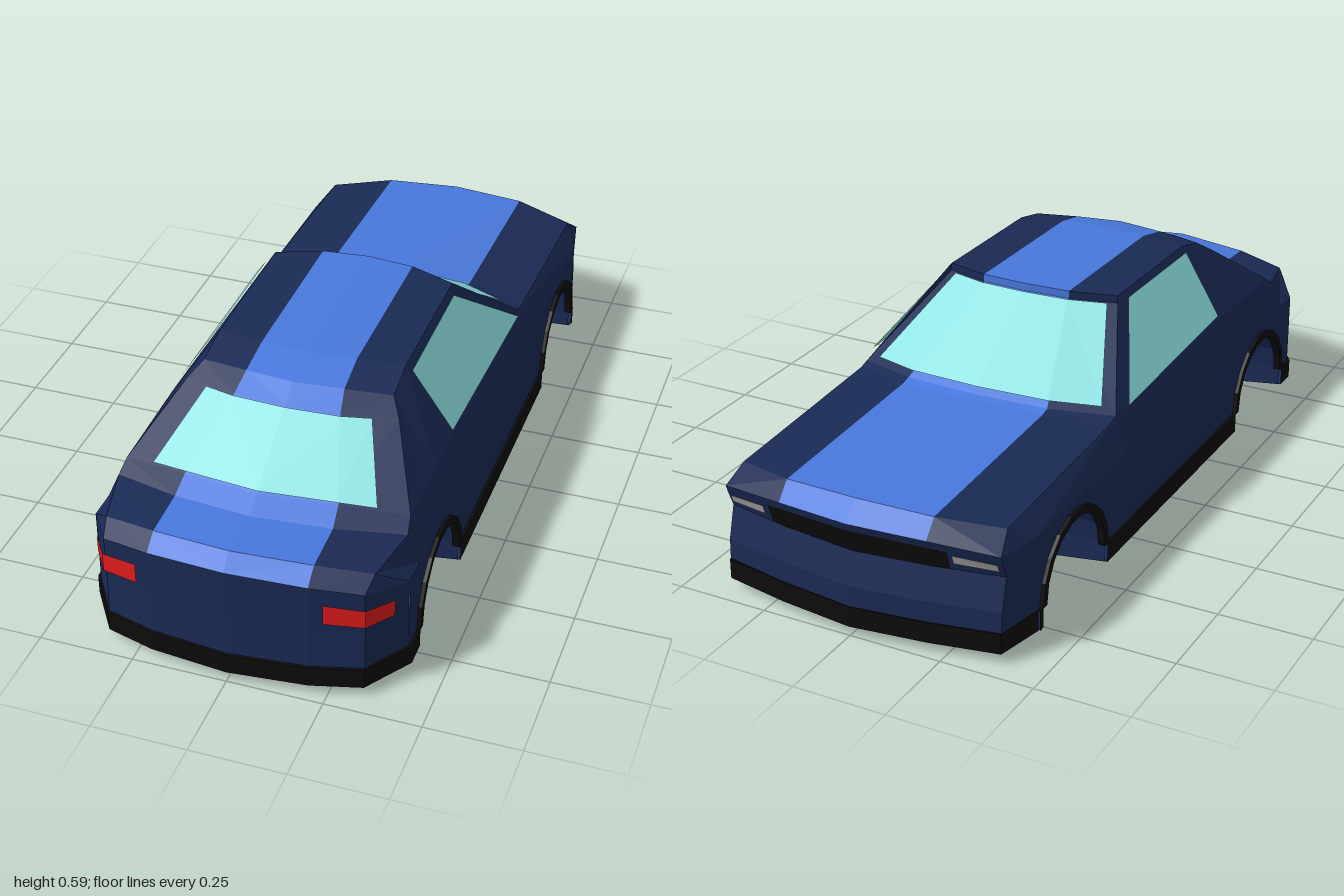
import * as THREE from 'three';

const NAVY = 0x1a2a54, BLUE = 0x4878dc, GLASS = 0x8fe3e3, BLACK = 0x0c0c0c, RED = 0xe01c1c, GREY = 0xaaaaaa;

// Triangles of a grid given as rows of points
function patch(rows) {
  const tris = [];
  for (let i = 0; i + 1 < rows.length; i++)
    for (let j = 0; j + 1 < rows[i].length; j++) {
      const [a, b, c, d] = [rows[i][j], rows[i][j + 1], rows[i + 1][j + 1], rows[i + 1][j]];
      tris.push([a, b, c], [a, c, d]);
    }
  return tris;
}

// Flat polygon in the z-y plane at a given x
function sidePolygon(x, pts) {
  const pos = new THREE.ShapeGeometry(new THREE.Shape(pts.map(p => new THREE.Vector2(p[0], p[1])))).toNonIndexed().attributes.position;
  const v = i => [x, pos.getY(i), pos.getX(i)];
  const tris = [];
  for (let i = 0; i < pos.count; i += 3) tris.push([v(i), v(i + 1), v(i + 2)]);
  return tris;
}

// Mesh from half the car's triangles, mirrored in x and turned outward (or towards a given point)
function addPart(group, name, color, tris, towards) {
  const out = [];
  const tri = new THREE.Triangle(), n = new THREE.Vector3(), m = new THREE.Vector3();
  for (const t of tris) {
    tri.set(...t.map(p => new THREE.Vector3(...p)));
    if (tri.getArea() < 1e-7) continue;
    tri.getNormal(n);
    tri.getMidpoint(m);
    const away = towards ? new THREE.Vector3(...towards).sub(m) : m.clone().sub(new THREE.Vector3(0, 0.27, m.z * 0.6));
    const [a, b, c] = n.dot(away) < 0 ? [t[0], t[2], t[1]] : t;
    out.push(...a, ...b, ...c);
    for (const p of [a, c, b]) out.push(-p[0], p[1], p[2]);
  }
  const geo = new THREE.BufferGeometry();
  geo.setAttribute('position', new THREE.Float32BufferAttribute(out, 3));
  geo.computeVertexNormals();
  const mesh = new THREE.Mesh(geo, new THREE.MeshStandardMaterial({ color, flatShading: true, side: THREE.DoubleSide }));
  mesh.name = name;
  group.add(mesh);
}

const lerp = (a, b, t) => a.map((v, i) => v + (b[i] - v) * t);

// Arch outline (z, y) around a wheel centre
const ARCH_Y = 0.08, ARCH_R = 0.176, WHEELS = [-0.615, 0.577];
function arch(c, r, n = 9) {
  return Array.from({ length: n + 1 }, (_, i) => {
    const a = Math.PI * (1 - i / n);
    return [c + r * Math.cos(a), ARCH_Y + 0.005 + r * Math.sin(a)];
  });
}
const floorY = z => 0.003 + 0.027 * Math.max(0, (z - 0.75) / 0.24, (-0.45 - z) / 0.55);

export function createModel() {
  const car = new THREE.Group();
  car.name = 'car';

  // Upper surface from tail to nose: centre, stripe edge, outer edge
  const lip = [[0, 0.335, 0.99], [0.205, 0.327, 0.97], [0.335, 0.312, 0.935]];
  const deckRear = [[0, 0.372, 0.95], [0.205, 0.362, 0.925], [0.345, 0.345, 0.89]];
  const deckFront = [[0, 0.376, 0.815], [0.205, 0.37, 0.79], [0.378, 0.358, 0.74]];
  const rearBase = [[0, 0.405, 0.76], [0.2, 0.4, 0.735], [0.372, 0.385, 0.7]];
  const rearTop = [[0, 0.53, 0.555], [0.14, 0.528, 0.545], [0.28, 0.525, 0.51]];
  const roofRear = [[0, 0.565, 0.5], [0.13, 0.562, 0.485], [0.252, 0.557, 0.465]];
  const roofMid = [[0, 0.586, 0.39], [0.127, 0.584, 0.38], [0.25, 0.58, 0.36]];
  const roofFront = [[0, 0.591, -0.095], [0.127, 0.589, -0.085], [0.25, 0.584, -0.045]];
  const screenTop = [[0, 0.57, -0.095], [0.127, 0.568, -0.085], [0.25, 0.564, -0.045]];
  const screenBase = [[0, 0.385, -0.375], [0.205, 0.382, -0.36], [0.37, 0.372, -0.3]];
  const cowl = [[0, 0.379, -0.4], [0.205, 0.376, -0.385], [0.37, 0.364, -0.33]];
  const hoodFront = [[0, 0.356, -0.95], [0.205, 0.35, -0.935], [0.37, 0.333, -0.88]];
  const nose = [[0, 0.31, -1], [0.205, 0.304, -0.975], [0.385, 0.29, -0.94]];
  const top = [lip, deckRear, deckFront, rearBase, rearTop, roofRear, roofMid, roofFront, screenTop, screenBase, cowl, hoodFront, nose];
  addPart(car, 'centreStripe', BLUE, patch(top.map(r => r.slice(0, 2))));
  addPart(car, 'upperBody', NAVY, patch(top.map(r => r.slice(1))));

  // Front and rear windows lie just above the body
  const glass = (a, b, t0, t1, f, dz) => patch([t0, t1].map(t => {
    const r = a.map((p, i) => lerp(p, b[i], t));
    return [r[0], r[1], lerp(r[1], r[2], f)].map(p => [p[0], p[1] + 0.005, p[2] + dz]);
  }));
  addPart(car, 'windshield', GLASS, glass(screenTop, screenBase, 0.02, 0.94, 0.8, -0.004));
  addPart(car, 'rearWindow', GLASS, glass(rearBase, rearTop, 0.02, 0.97, 0.55, 0.004));

  // Cabin sides and side windows
  const belt = [[0.373, 0.386, 0.6], [0.374, 0.388, 0.5], [0.375, 0.39, 0.38]];
  addPart(car, 'cabinSides', NAVY, patch([
    [rearBase[2], ...belt, screenBase[2], screenBase[2]],
    [rearBase[2], rearTop[2], roofRear[2], roofMid[2], roofFront[2], screenTop[2]],
  ]));
  const onCabin = (z, y) => [0.38 - 0.64 * (y - 0.39), y, z];
  addPart(car, 'sideWindows', GLASS, patch([
    [onCabin(0.35, 0.4), onCabin(-0.25, 0.384)], [onCabin(0.36, 0.567), onCabin(-0.01, 0.57)],
  ]));

  // Shoulders between the belt line and the flat sides
  const beltLine = [lip, deckRear, deckFront, rearBase].map(r => r[2])
    .concat(belt, [screenBase, cowl, hoodFront, nose].map(r => r[2]));
  const shoulderZ = [0.82, 0.82, 0.74, 0.7, 0.6, 0.5, 0.38, -0.3, -0.33, -0.81, -0.81];
  addPart(car, 'shoulders', NAVY, patch([beltLine, shoulderZ.map(z => [0.41, 0.285, z])]));

  // Sides with wheel arches cut out
  addPart(car, 'sidePanels', NAVY, sidePolygon(0.41, [
    [-0.81, 0.085], ...arch(WHEELS[0], ARCH_R), ...arch(WHEELS[1], ARCH_R), [0.82, 0.085], [0.82, 0.285], [-0.81, 0.285],
  ]));
  const [fA, fB, rA, rB] = WHEELS.flatMap(c => [c - ARCH_R, c + ARCH_R]);
  const sills = [[-0.81, fA], [fB, rA], [rB, 0.82]].flatMap(([a, b]) => patch([
    [[0.41, 0.085, a], [0.41, 0.085, b]], [[0.418, 0.085, a], [0.418, 0.085, b]], [[0.418, 0.03, a], [0.418, 0.03, b]],
  ]));
  addPart(car, 'sills', BLACK, sills);

  // Wheel wells and arch trims
  for (const [i, c] of WHEELS.entries()) {
    const where = i ? 'rear' : 'front';
    const pts = arch(c, ARCH_R);
    const z0 = c - ARCH_R, z1 = c + ARCH_R;
    const tunnel = patch([0.41, 0.2].map(x => {
      const y = z => (x > 0.3 ? 0.03 : floorY(z));
      return [[z0, y(z0)], ...pts, [z1, y(z1)]].map(p => [x, p[1], p[0]]);
    }));
    const wall = sidePolygon(0.2, [[z0, floorY(z0)], ...pts, [z1, floorY(z1)]]);
    addPart(car, where + 'WheelWells', NAVY, [...tunnel, ...wall], [0.35, 0.1, c]);
    const outer = arch(c, 0.18), inner = arch(c, 0.16);
    const ring = (p, x) => p.map(q => [x, q[1], q[0]]);
    addPart(car, where + 'ArchTrims', BLACK,
      patch([ring(outer, 0.408), ring(outer, 0.42), ring(inner, 0.42), ring(inner, 0.4)]));
  }

  // Tail: plan columns dropped down to the bumper
  const tailPlan = [...lip, [0.41, 0.285, 0.82]];
  const tailRow = (y, out) => tailPlan.map(([x, , z], i) => [x + (i === 3 ? out : 0), y, z + (i < 3 ? out : 0)]);
  addPart(car, 'tailPanel', NAVY, patch([tailPlan, tailRow(0.2, -0.003), tailRow(0.085, 0)]));
  const tailBottom = tailRow(0.03, 0.008);
  addPart(car, 'rearBumper', BLACK, patch([tailRow(0.085, 0), tailRow(0.085, 0.008), tailBottom]));
  addPart(car, 'tailLights', RED, patch([
    [[0.24, 0.281, 0.967], [0.338, 0.27, 0.942], [0.388, 0.258, 0.866]],
    [[0.24, 0.224, 0.967], [0.338, 0.218, 0.942], [0.388, 0.212, 0.866]],
  ]));

  // Nose: recessed band for grille and headlights, then bumper
  const nosePlan = [nose[0], nose[1], lerp(nose[1], nose[2], 0.25), nose[2], [0.41, 0.285, -0.81]];
  const noseRow = (y, inset, drop = 0) => nosePlan.map(([x, py, z], i) =>
    [x + (i === 4 ? Math.max(0, -inset) : 0), drop ? py - drop : y, z + (i < 4 ? inset : 0)]);
  const bandTop = noseRow(0, 0.008, 0.022), bandLow = noseRow(0.225, 0.026);
  bandTop[4] = [0.41, 0.27, -0.81];
  addPart(car, 'nosePanel', NAVY, [
    ...patch([nosePlan, bandTop]),
    ...patch([bandTop.slice(2), bandLow.slice(2)]),
    ...patch([bandLow, noseRow(0.14, 0.002), noseRow(0.085, 0)]),
  ]);
  addPart(car, 'grille', BLACK, patch([bandTop.slice(0, 3), bandLow.slice(0, 3)]));
  const noseBottom = noseRow(0.03, -0.004);
  addPart(car, 'frontBumper', BLACK, patch([noseRow(0.085, 0), noseRow(0.085, -0.004), noseBottom]));
  const lampRow = t => [0.1, 0.92].map(u => {
    const p = lerp(lerp(bandTop[2], bandTop[3], u), lerp(bandLow[2], bandLow[3], u), t);
    return [p[0], p[1], p[2] - 0.005];
  });
  addPart(car, 'headlights', GREY, patch([lampRow(0.08), lampRow(0.58)]));

  // Floor: shallow keel between the wells, raised towards both ends
  const floorRow = (row, z) => row.map(([x]) =>
    [x, floorY(z) + (0.03 - floorY(z)) * Math.max(0, (x - 0.2) / 0.21), z]);
  const strip = (zs, xs) => patch(zs.map(z => floorRow(xs.map(x => [x]), z)));
  addPart(car, 'floor', NAVY, [
    ...patch([tailBottom, floorRow(tailBottom, rB)]),
    ...patch([noseBottom, floorRow(noseBottom, fA)]),
    ...strip([fA, fB, rA, rB], [0, 0.205]),
    ...strip([fB, rA], [0.2, 0.418]),
  ]);
  return car;
}
